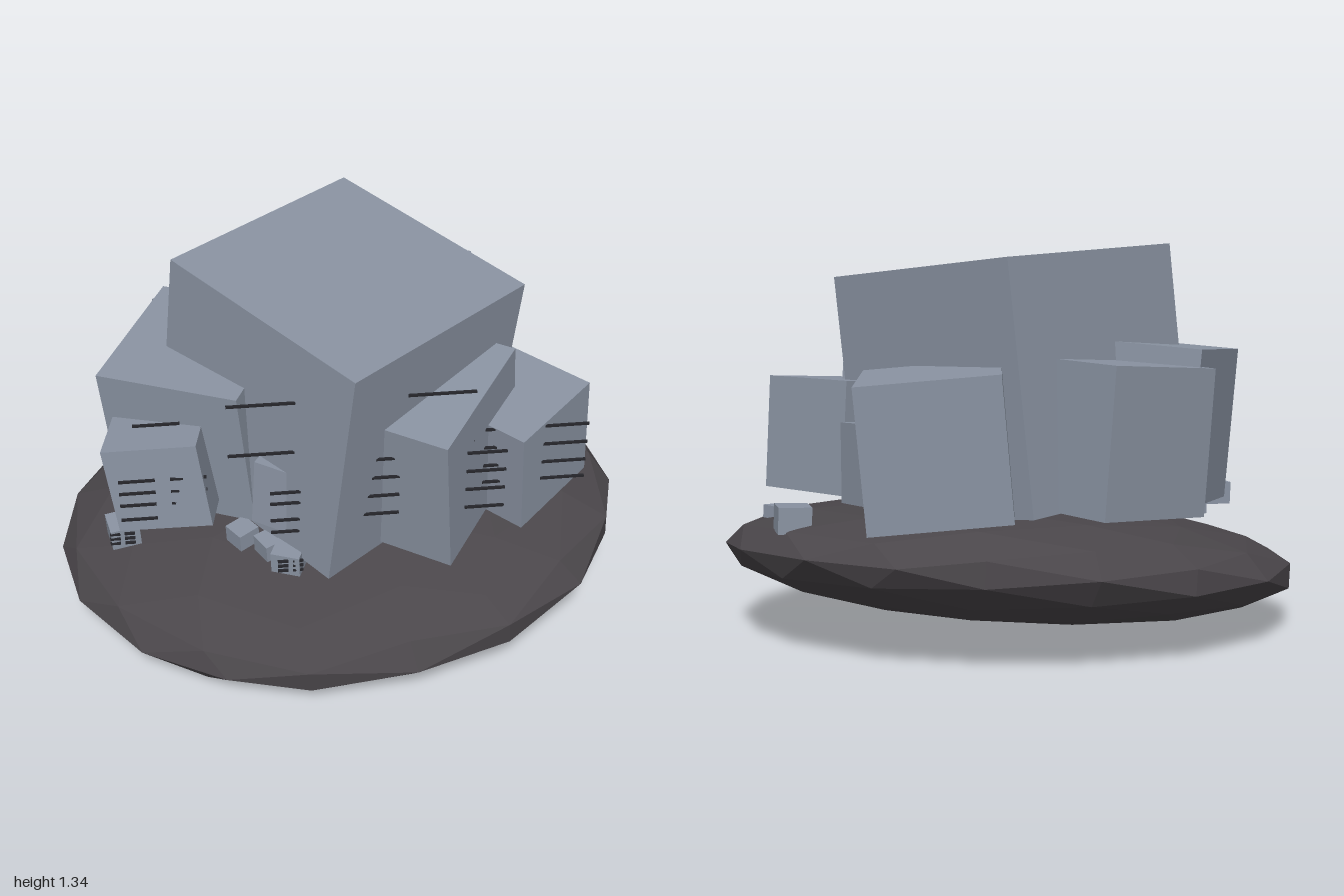
import * as THREE from 'three';

const mat = (name, color) => {
  const m = new THREE.MeshStandardMaterial({ color });
  m.name = name;
  return m;
};

export function createModel() {
  const model = new THREE.Group();
  const rockMat = mat('darkRock', 0x4a464a);
  const wallMat = mat('blueGreyWall', 0x8a93a2);
  const barMat = mat('nearBlack', 0x26262b);
  rockMat.flatShading = true;

  // Flattened faceted rock, tilted to one side and forward
  const rockGeo = new THREE.IcosahedronGeometry(1, 2);
  rockGeo.rotateY(0.5536);
  rockGeo.scale(1, 0.216, 0.775);
  const rock = new THREE.Mesh(rockGeo, rockMat);
  rock.name = 'rock';
  rock.rotation.set(0.12, 0, 0.075);
  rock.position.y = 0.245;
  model.add(rock);

  // Block placed by the centre of its roof, its size, its turn and its roof lean
  const up = new THREE.Vector3(0, 1, 0);
  function block(name, top, size, yaw, leanX = 0, leanZ = 0) {
    const n = new THREE.Vector3(leanX, 1, leanZ).normalize();
    const mesh = new THREE.Mesh(new THREE.BoxGeometry(...size), wallMat);
    mesh.name = name;
    mesh.quaternion.setFromUnitVectors(up, n)
      .multiply(new THREE.Quaternion().setFromAxisAngle(up, yaw));
    mesh.position.set(...top).addScaledVector(n, -size[1] / 2);
    model.add(mesh);
  }

  block('mainBlock', [0.035, 1.283, 0.025], [0.82, 0.83, 0.824], 0.703, 0.094, 0.064);
  block('frontRightBlock', [0.21, 1.0, 0.23], [0.526, 0.54, 0.526], 0.972, -0.075, 0.11);
  block('rightBlock', [0.57, 0.865, 0.16], [0.38, 0.39, 0.38], 0.757, -0.055, 0.076);
  block('backRightBlock', [0.32, 0.947, -0.45], [0.46, 0.47, 0.455], -0.11, 0.087, -0.004);
  block('leftBlock', [-0.468, 1.0, -0.05], [0.51, 0.53, 0.525], -0.476, -0.09, 0.043);
  block('backLeftBlock', [-0.295, 0.966, -0.355], [0.46, 0.49, 0.47], 0.61, -0.075, 0.043);
  block('frontLeftBlock', [-0.625, 0.822, 0.155], [0.32, 0.32, 0.32], -0.19, -0.13, -0.08);
  block('smallFrontBlock', [-0.14, 0.755, 0.29], [0.25, 0.25, 0.25], -0.55, 0.06, 0);
  block('smallRightBlock', [0.437, 0.76, -0.24], [0.25, 0.27, 0.25], 0.39, 0, 0.09);

  // Small stone chips: x, y of centre, z, size, turn
  const chips = [
    [-0.765, 0.425, 0.22, 0.1, 0.2],
    [-0.63, 0.43, -0.1, 0.055, 0.4],
    [-0.56, 0.43, 0.06, 0.055, 0.1],
    [-0.36, 0.435, 0.3, 0.08, 0.6],
    [-0.27, 0.43, 0.36, 0.08, 0.5],
    [-0.21, 0.425, 0.42, 0.1, -0.4],
    [0.235, 0.437, 0.29, 0.07, 0.3],
    [0.76, 0.457, -0.31, 0.11, 0.15],
    [0.825, 0.437, -0.06, 0.055, 0.7],
  ];
  chips.forEach(([x, y, z, s, yaw]) =>
    block('chip', [x, y + s * 0.4, z], [s, s * 0.8, s], yaw, -0.04, 0.04));

  // Thin horizontal window bars, two columns to each block
  const barGeo = new THREE.BoxGeometry(1, 0.008, 0.008);
  function bars(name, cx, z, offset, length, rows) {
    const group = new THREE.Group();
    group.name = name;
    for (const y of rows) {
      for (const side of [-1, 1]) {
        const bar = new THREE.Mesh(barGeo, barMat);
        bar.name = 'windowBar';
        bar.scale.x = length;
        bar.position.set(cx + side * offset, y, z);
        group.add(bar);
      }
    }
    model.add(group);
  }

  bars('mainBars', 0, 0.415, 0.29, 0.22, [1.055, 0.86]);
  bars('leftBars', -0.47, 0.22, 0.155, 0.155, [0.86, 0.73, 0.6]);
  bars('frontRightBars', 0.26, 0.47, 0.175, 0.13, [0.85, 0.775, 0.7, 0.625]);
  bars('rightBars', 0.59, 0.34, 0.135, 0.15, [0.84, 0.765, 0.69, 0.62]);
  bars('frontLeftBars', -0.615, 0.335, 0.085, 0.12, [0.72, 0.67, 0.62, 0.56]);
  bars('smallFrontBars', -0.215, 0.44, 0.025, 0.06, [0.715, 0.67, 0.6, 0.55]);
  bars('chipBars', -0.765, 0.275, 0.025, 0.035, [0.45, 0.43, 0.41]);
  bars('frontChipBars', -0.21, 0.475, 0.025, 0.035, [0.45, 0.43, 0.41]);

  return model;
}
